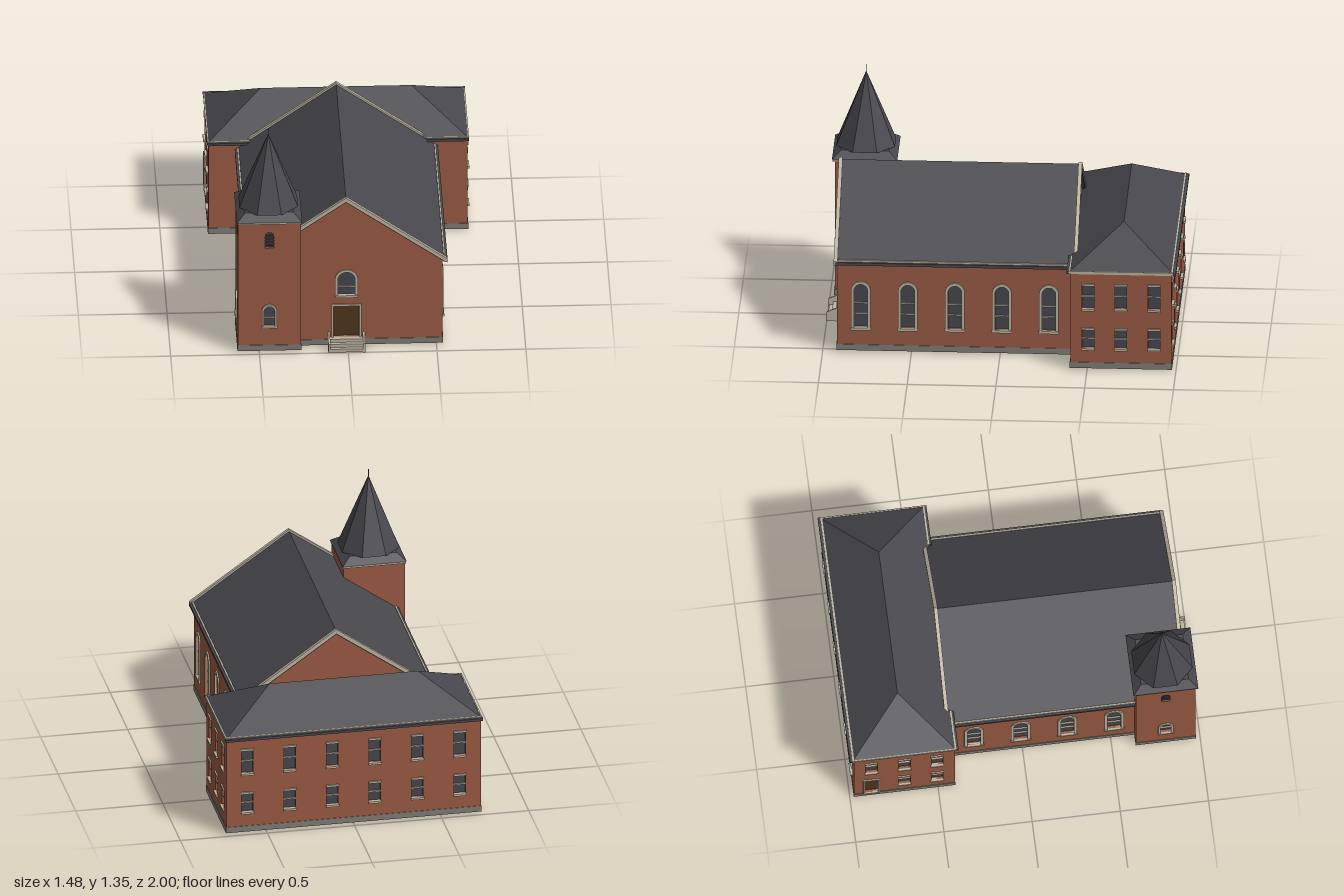
import * as THREE from 'three';

const paint = (name, color) => {
  const m = new THREE.MeshStandardMaterial({ color });
  m.name = name;
  return m;
};

export function createModel() {
  const brick = paint('brick', 0x9a5b43);
  const stone = paint('baseStone', 0x807d76);
  const trim = paint('trim', 0xbdb4a1);
  const slate = paint('slate', 0x48474d);
  const glass = paint('glass', 0x46474f);
  const wood = paint('doorWood', 0x4f361d);
  slate.side = glass.side = wood.side = brick.side = THREE.DoubleSide;

  const model = new THREE.Group();
  model.name = 'church';

  const group = (parent, name) => {
    const g = new THREE.Group();
    g.name = name;
    parent.add(g);
    return g;
  };
  const add = (parent, name, geo, mat, x = 0, y = 0, z = 0) => {
    const m = new THREE.Mesh(geo, mat);
    m.name = name;
    m.position.set(x, y, z);
    parent.add(m);
    return m;
  };
  // Box given by its limits on each axis
  const block = (parent, name, mat, x0, x1, y0, y1, z0, z1) =>
    add(parent, name, new THREE.BoxGeometry(x1 - x0, y1 - y0, z1 - z0), mat,
      (x0 + x1) / 2, (y0 + y1) / 2, (z0 + z1) / 2);
  const extrude = (shape, depth) =>
    new THREE.ExtrudeGeometry(shape, { depth, bevelEnabled: false, curveSegments: 10 });
  const polygon = pts => new THREE.Shape(pts.map(p => new THREE.Vector2(...p)));

  // Outline of an opening, grown by e; arched ones end in a half circle
  const outline = ({ u, y0, y1, w, arch }, e = 0) => {
    const s = new THREE.Shape(), r = w / 2 + e;
    s.moveTo(u - r, y0 - e);
    s.lineTo(u + r, y0 - e);
    if (arch) {
      s.lineTo(u + r, y1 - w / 2);
      s.absarc(u, y1 - w / 2, r, 0, Math.PI, false);
    } else {
      s.lineTo(u + r, y1 + e);
      s.lineTo(u - r, y1 + e);
    }
    s.closePath();
    return s;
  };

  // Wall in its own plane: u across, y up, outside facing +z
  const T = 0.02;
  const wall = (parent, name, pts, openings, pos, turn, base = true) => {
    const g = group(parent, name);
    g.position.set(...pos);
    g.rotation.y = turn;
    const shape = polygon(pts);
    openings.forEach(o => { if (!o.blind) shape.holes.push(outline(o)); });
    add(g, 'brickwork', extrude(shape, T), brick, 0, 0, -T);
    if (base) {
      const us = pts.map(p => p[0]);
      block(g, 'baseCourse', stone, Math.min(...us) - 0.003, Math.max(...us) + 0.003, 0.01, 0.045, -T, 0.003);
    }
    for (const o of openings) {
      const { u, y0, y1, w } = o, h = w / 2;
      if (!o.blind) add(g, o.door ? 'door' : 'pane', new THREE.ShapeGeometry(outline(o), 10), o.door ? wood : glass, 0, 0, -0.015);
      if (o.frame) {
        const ring = outline(o, o.frame);
        ring.holes.push(outline(o));
        add(g, 'surround', extrude(ring, 0.018), trim, 0, 0, -0.01);
      }
      if (o.lintel) block(g, 'lintel', trim, u - h - 0.004, u + h + 0.004, y1 - 0.002, y1 + 0.01, -0.01, 0.008);
      if (o.sill) block(g, 'sill', trim, u - h - o.sill, u + h + o.sill, y0 - 0.012, y0, -0.01, 0.012);
      for (const y of o.bars || []) block(g, 'glazingBar', o.slats ? slate : trim, u - h, u + h, y - 0.004, y + 0.004, -0.014, -0.005);
    }
    return g;
  };
  const rect = (u0, u1, y0, y1) => [[u0, y0], [u1, y0], [u1, y1], [u0, y1]];
  const Q = Math.PI / 2;

  // ---- Nave ----
  const nave = group(model, 'nave');
  const cx = -0.01, half = 0.545, zf = 0.92, zb = -0.41;
  const gable = [[-half, 0.01], [half, 0.01], [half, 0.545], [0, 0.93], [-half, 0.545]];
  const archWindow = u => ({ u, y0: 0.15, y1: 0.413, w: 0.076, arch: true, frame: 0.017, sill: 0.02, bars: [0.23, 0.295] });
  wall(nave, 'frontGable', gable, [
    { u: 0.003, y0: 0.06, y1: 0.258, w: 0.144, frame: 0.012, door: true },
    { u: 0.003, y0: 0.328, y1: 0.475, w: 0.098, arch: true, frame: 0.016, sill: 0.017, bars: [0.375] },
  ], [cx, 0, zf], 0);
  wall(nave, 'backGable', gable, [{ ...archWindow(0), blind: true, bars: [] }], [cx, 0, zb], Math.PI);
  const bays = [0.785, 0.52, 0.255, -0.01, -0.275];
  wall(nave, 'leftWall', rect(-zf, -zb, 0.01, 0.545), bays.map(z => archWindow(-z)), [cx + half, 0, 0], Q);
  wall(nave, 'rightWall', rect(zb, zf, 0.01, 0.545), bays.map(archWindow), [cx - half, 0, 0], -Q);

  // Roof slab, raking boards on both gables, eaves
  const chevron = (x, yEave, yRidge, t) => polygon([[-x, yEave], [-x, yEave - t], [0, yRidge - t], [x, yEave - t], [x, yEave], [0, yRidge]]);
  add(nave, 'naveRoof', extrude(chevron(0.56, 0.55, 0.945, 0.02), 1.36), slate, cx, 0, -0.43);
  for (const [z, name] of [[0.915, 'frontRake'], [-0.435, 'backRake']])
    add(nave, name, extrude(chevron(0.57, 0.556, 0.957, 0.024), 0.022), trim, cx, 0, z);
  for (const s of [-1, 1]) {
    const e = cx + s * 0.555, o = cx + s * 0.566;
    block(nave, 'eaveBoard', trim, e - 0.005, e + 0.005, 0.535, 0.562, -0.4, 0.93);
    block(nave, 'gutter', slate, o - 0.006, o + 0.006, 0.535, 0.552, -0.4, 0.93);
  }

  // ---- Rear wing ----
  const wing = group(model, 'rearWing');
  const W = 0.73, wf = -0.405, wb = -0.975, wTop = 0.59;
  const sash = (u, upper) => ({
    u, w: 0.066, y0: upper ? 0.372 : 0.132, y1: upper ? 0.513 : 0.245,
    lintel: true, sill: 0.004, bars: [upper ? 0.445 : 0.187],
  });
  const pair = u => [sash(u, true), sash(u, false)];
  const cols = [-0.61, -0.366, -0.122, 0.122, 0.366, 0.61];
  const ends = [-0.505, -0.69, -0.877];
  wall(wing, 'backWall', rect(-W, W, 0.01, wTop), cols.flatMap(pair), [0, 0, wb], Math.PI);
  wall(wing, 'leftEnd', rect(-wf, -wb, 0.01, wTop), ends.flatMap(z => pair(-z)), [W, 0, 0], Q);
  wall(wing, 'rightEnd', rect(wb, wf, 0.01, wTop), [
    ...ends.map(z => sash(z, true)), sash(ends[0], false), sash(ends[1], false),
    { u: ends[2], y0: 0.05, y1: 0.245, w: 0.075, frame: 0.01, door: true },
  ], [-W, 0, 0], -Q);
  wall(wing, 'frontLeftReturn', rect(cx + half, W, 0.01, wTop), [], [0, 0, wf], 0);
  wall(wing, 'frontRightReturn', rect(-W, cx - half, 0.01, wTop), [], [0, 0, wf], 0);

  // Hipped roof: a box whose top is drawn in to the ridge
  const hip = new THREE.BoxGeometry(1.466, 0.185, 0.585);
  const hp = hip.attributes.position;
  for (let i = 0; i < hp.count; i++)
    if (hp.getY(i) > 0) hp.setXYZ(i, Math.sign(hp.getX(i)) * 0.425, hp.getY(i), 0);
  hip.computeVertexNormals();
  add(wing, 'hipRoof', hip, slate, 0, 0.688, -0.692);

  // Cornice boards and gutters round the wing
  block(wing, 'backCornice', trim, -0.738, 0.738, 0.583, 0.602, -0.985, -0.975);
  block(wing, 'backGutter', slate, -0.738, 0.738, 0.582, 0.597, -1, -0.985);
  for (const s of [-1, 1]) {
    const span = (a, b) => (s > 0 ? [a, b] : [-b, -a]);
    block(wing, 'endCornice', trim, ...span(0.73, 0.737), 0.583, 0.6, -0.98, -0.4);
    block(wing, 'frontCornice', trim, ...span(0.5, 0.737), 0.583, 0.602, -0.405, -0.396);
    block(wing, 'frontGutter', slate, ...span(0.5, 0.737), 0.582, 0.597, -0.396, -0.384);
  }

  // ---- Tower ----
  const tower = group(model, 'tower');
  const tx = -0.443, tz = 0.805, th = 0.177, zh = 0.168, tTop = 0.83;
  const towerOpenings = [
    { u: 0, y0: 0.167, y1: 0.293, w: 0.06, arch: true, frame: 0.013, sill: 0.015, bars: [0.215] },
    { u: 0, y0: 0.665, y1: 0.765, w: 0.05, arch: true, bars: [0.68, 0.7, 0.72, 0.74], slats: true },
  ];
  wall(tower, 'towerFront', rect(-th, th, 0.01, tTop), towerOpenings, [tx, 0, tz + zh], 0);
  wall(tower, 'towerRight', rect(-zh, zh, 0.01, tTop), towerOpenings, [tx - th, 0, tz], -Q);
  // The inner walls stop above the nave floor
  const lip = cx - half - tx;
  wall(tower, 'towerBack', [[th, 0.01], [th, tTop], [-th, tTop], [-th, 0.42], [-lip, 0.42], [-lip, 0.01]], [], [tx, 0, tz - zh], Math.PI, false);
  block(tower, 'towerBackBase', stone, tx - th, cx - half, 0.01, 0.045, tz - zh - 0.003, tz - zh + T);
  wall(tower, 'towerLeft', rect(-zh, zh, 0.42, tTop), [], [tx + th, 0, tz], Q, false);
  wall(tower, 'towerLeftFront', rect(-zh, zf - 0.02 - tz > 0 ? -(zf - tz) : 0, 0.01, 0.42), [], [tx + th, 0, tz], Q);

  // Cornice, skirt roof, eight-sided spire and finial
  block(tower, 'towerCornice', trim, tx - 0.181, tx + 0.181, 0.824, 0.836, tz - 0.181, tz + 0.181);
  const prism = (rTop, rBottom, h, n) => {
    const k = 1 / Math.cos(Math.PI / n);
    const geo = new THREE.CylinderGeometry(rTop * k, rBottom * k, h, n).rotateY(Math.PI / n).toNonIndexed();
    geo.computeVertexNormals();
    return geo;
  };
  add(tower, 'skirtRoof', prism(0.135, 0.184, 0.04, 4), slate, tx, 0.856, tz);
  add(tower, 'spire', prism(0.002, 0.165, 0.428, 8), slate, tx, 1.088, tz);
  block(tower, 'finial', slate, tx - 0.002, tx + 0.002, 1.29, 1.345, tz - 0.002, tz + 0.002);

  // ---- Front steps with sloping cheeks ----
  const steps = group(model, 'frontSteps');
  const sx = -0.008;
  for (let i = 0; i < 3; i++)
    block(steps, 'step', trim, sx - 0.095, sx + 0.095, 0, 0.02 * (i + 1), zf, 0.995 - i * 0.022);
  const cheek = polygon([[-0.92, 0], [-0.92, 0.09], [-1, 0.055], [-1, 0]]);
  for (const s of [-1, 1]) {
    const m = add(steps, 'cheekWall', extrude(cheek, 0.012), trim, sx + s * 0.098 - 0.006, 0, 0);
    m.rotation.y = Q;
  }
  return model;
}
